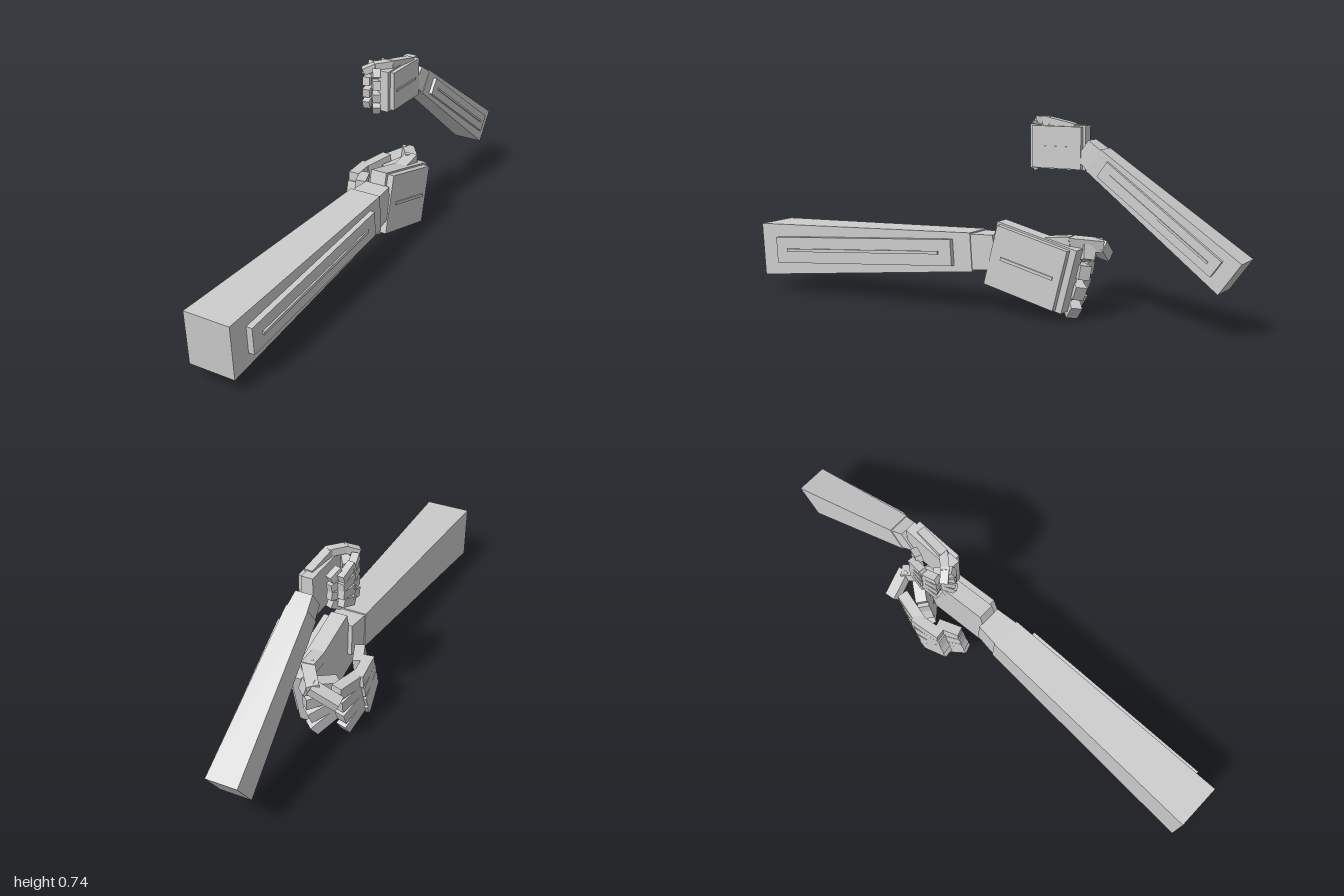
import * as THREE from 'three';

const material = new THREE.MeshStandardMaterial({ color: 0xcccccc, flatShading: true });

function add(parent, geometry, name) {
  const mesh = new THREE.Mesh(geometry, material);
  mesh.name = name;
  parent.add(mesh);
  return mesh;
}

// Four-sided block between two cross-sections [x0, x1, y0, y1, z]
function loft(parent, name, a, b) {
  if (a[4] > b[4]) [a, b] = [b, a];
  const geometry = new THREE.BoxGeometry(1, 1, 1);
  const p = geometry.attributes.position;
  for (let i = 0; i < p.count; i++) {
    const r = p.getZ(i) < 0 ? a : b;
    p.setXYZ(i, p.getX(i) < 0 ? r[0] : r[1], p.getY(i) < 0 ? r[2] : r[3], r[4]);
  }
  geometry.computeVertexNormals();
  return add(parent, geometry, name);
}

// Chain of square-cut blocks following a list of points
function chain(parent, name, points, width, height) {
  for (let i = 0; i < points.length - 1; i++) {
    const a = points[i], b = points[i + 1];
    const taper = 1 - i * 0.04;
    const bone = add(parent, new THREE.BoxGeometry(width * taper, height * taper, a.distanceTo(b) + width * 0.4), name);
    bone.position.copy(a).add(b).multiplyScalar(0.5);
    bone.lookAt(bone.position.clone().add(b).sub(a));
  }
}

// Forearm runs from the elbow at the origin along d * z
function buildForearm(d) {
  const g = new THREE.Group();
  g.name = 'forearm';
  loft(g, 'forearmBlock', [-0.092, 0.092, -0.105, 0.105, 0], [-0.063, 0.063, -0.073, 0.073, d * 0.97]);
  loft(g, 'wrist', [-0.06, 0.06, -0.068, 0.068, d * 0.965], [-0.05, 0.05, -0.064, 0.064, d * 1.06]);
  loft(g, 'forearmPanel', [0.06, 0.113, -0.052, 0.052, d * 0.085], [0.04, 0.085, -0.05, 0.05, d * 0.895]);
  loft(g, 'panelRidge', [0.1, 0.119, -0.006, 0.006, d * 0.14], [0.07, 0.092, -0.006, 0.006, d * 0.84]);
  return g;
}

// Hand is centred on the palm, fingers toward d * z, palm facing -x, thumb up
function buildHand(d, pose) {
  const g = new THREE.Group();
  g.name = 'hand';
  const box = (name, x0, x1, h, u0, u1) =>
    loft(g, name, [x0, x1, -h, h, d * u0], [x0, x1, -h, h, d * u1]);
  box('palm', -0.034, 0.032, 0.122, -0.17, 0.165);
  box('backPlate', 0.032, 0.057, 0.115, -0.155, 0.14);
  box('plateRidge', 0.05, 0.062, 0.006, -0.11, 0.11);

  // Four curled fingers, each hinged at its knuckle
  const knuckle = 0.145;
  for (let i = 0; i < 4; i++) {
    const finger = new THREE.Group();
    finger.name = 'finger' + (i + 1);
    finger.position.set(0, 0.088 - i * 0.06, d * knuckle);
    finger.rotation.x = -d * pose.tilts[i];
    const points = pose.curl.map(([x, u]) => new THREE.Vector3(x, 0, d * (u - knuckle)));
    chain(finger, 'fingerSegment', points, 0.045, 0.053);
    g.add(finger);
  }
  chain(g, 'thumbSegment', pose.thumb.map(([x, y, u]) => new THREE.Vector3(x, y, d * u)), 0.05, 0.045);
  return g;
}

function buildArm(name, d, scale, elbow, elbowPitch, palm, palmPitch, pose) {
  const arm = new THREE.Group();
  arm.name = name;
  const forearm = buildForearm(d);
  forearm.position.set(...elbow);
  forearm.rotation.x = elbowPitch;
  const hand = buildHand(d, pose);
  hand.position.set(...palm);
  hand.rotation.x = palmPitch;
  for (const part of [forearm, hand]) {
    part.scale.setScalar(scale);
    arm.add(part);
  }
  return arm;
}

export function createModel() {
  const model = new THREE.Group();
  model.name = 'pairOfArms';

  // Large lower arm with loosely curled fingers
  model.add(buildArm('lowerArm', -1, 1, [0.05, 0.146, 0.993], 0.067, [0.05, 0.17, -0.205], -0.25, {
    curl: [[-0.01, 0.14], [-0.13, 0.145], [-0.19, 0.05], [-0.16, -0.055], [-0.09, -0.085]],
    tilts: [0.24, 0.16, 0.08, -0.06],
    thumb: [[-0.005, 0.07, -0.06], [-0.015, 0.13, 0.11], [-0.08, 0.14, 0.2], [-0.165, 0.09, 0.195]],
  }));

  // Smaller raised arm with a closed fist
  model.add(buildArm('raisedArm', 1, 0.66, [0.005, 0.195, -0.957], -0.628, [0.003, 0.61, -0.285], 0, {
    curl: [[-0.01, 0.145], [-0.11, 0.145], [-0.15, 0.06], [-0.12, -0.03], [-0.06, -0.04]],
    tilts: [0, 0, 0, 0],
    thumb: [[0.02, 0.11, -0.1], [0.0, 0.143, 0.08], [-0.06, 0.14, 0.15], [-0.11, 0.115, 0.19]],
  }));
  return model;
}
